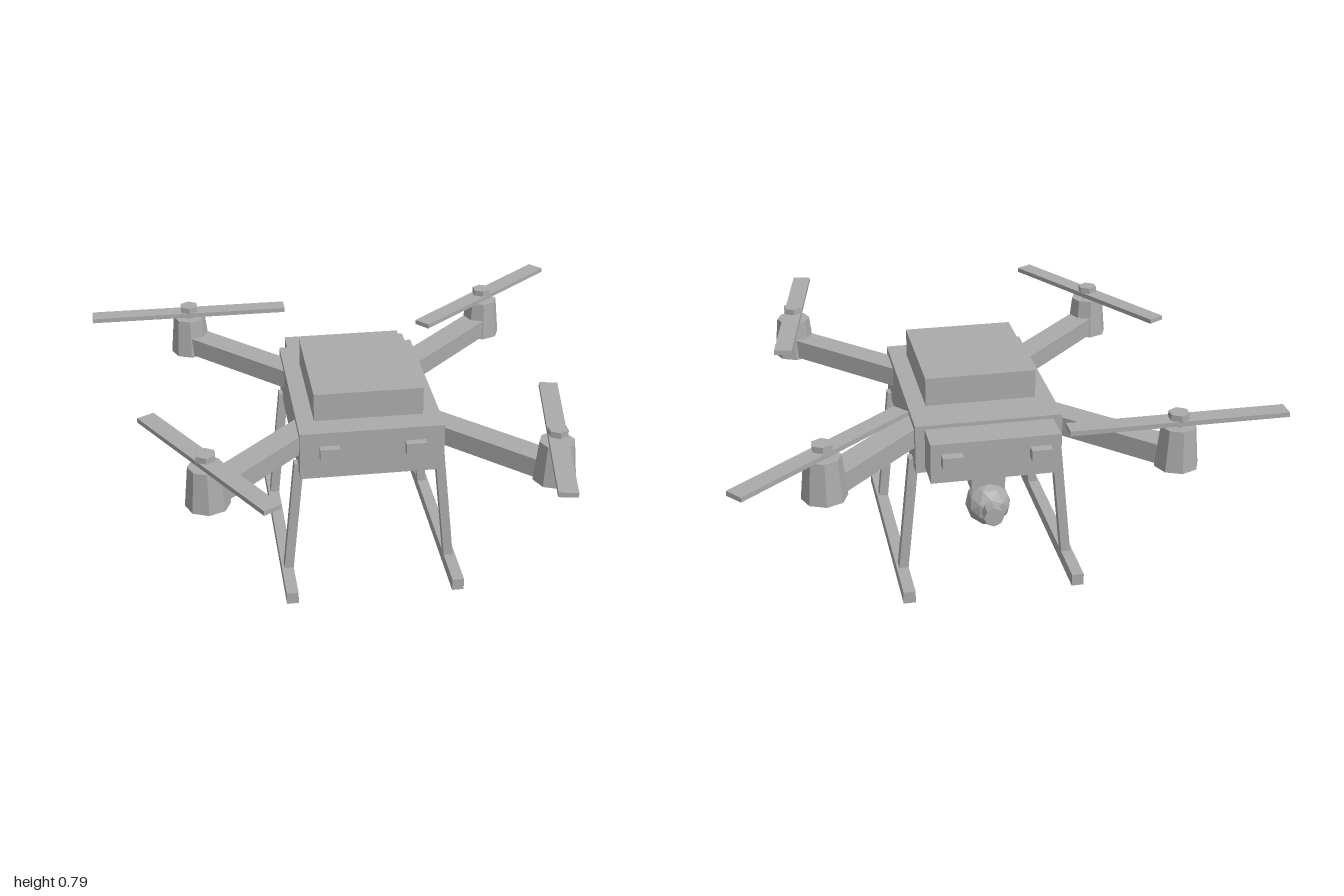
import * as THREE from 'three';

export function createModel() {
  const model = new THREE.Group();
  model.name = 'quadcopter';
  const drone = new THREE.Group();
  drone.name = 'airframe';
  drone.position.set(0.032, 0, -0.0625);
  model.add(drone);

  const grey = new THREE.MeshStandardMaterial({ color: 0xaaaaaa, flatShading: true });
  grey.name = 'plain grey';

  const add = (name, geometry, x, y, z, parent = drone) => {
    const mesh = new THREE.Mesh(geometry, grey);
    mesh.name = name;
    mesh.position.set(x, y, z);
    parent.add(mesh);
    return mesh;
  };
  const box = (name, w, h, d, x, y, z, parent) =>
    add(name, new THREE.BoxGeometry(w, h, d), x, y, z, parent);
  const cylinder = (name, top, bottom, h, sides, x, y, z, parent) =>
    add(name, new THREE.CylinderGeometry(top, bottom, h, sides), x, y, z, parent);

  // Fuselage, battery lid and rear compartment
  box('body', 0.55, 0.19, 0.745, 0, 0.585, 0);
  box('topHousing', 0.418, 0.11, 0.48, 0, 0.735, 0.0325);
  box('rearCompartment', 0.48, 0.155, 0.14, 0, 0.588, -0.43);

  // Lamps at the front and back
  for (const s of [-1, 1]) {
    box('frontLamp', 0.077, 0.043, 0.05, s * 0.163, 0.604, 0.378);
    box('rearLamp', 0.077, 0.043, 0.05, s * 0.163, 0.604, -0.512);
  }

  // Arms, motors and propellers: x side, z side, blade angle in degrees
  for (const [sx, sz, angle] of [[-1, -1, 0], [1, -1, 40], [1, 1, 80], [-1, 1, 120]]) {
    const inner = 0.2, outer = 0.632, mid = (inner + outer) / 2;
    const arm = box('arm', (outer - inner) * Math.SQRT2, 0.075, 0.1, sx * mid, 0.618, sz * mid);
    arm.rotation.y = -sx * sz * Math.PI / 4;

    const rotor = new THREE.Group();
    rotor.name = 'rotor';
    rotor.position.set(sx * outer, 0, sz * 0.63);
    drone.add(rotor);
    cylinder('motor', 0.066, 0.082, 0.157, 8, 0, 0.6515, 0, rotor);
    cylinder('shaft', 0.026, 0.026, 0.03, 6, 0, 0.742, 0, rotor);
    cylinder('hubCap', 0.039, 0.039, 0.026, 6, 0, 0.767, 0, rotor);
    box('propeller', 0.807, 0.018, 0.07, 0, 0.748, 0, rotor).rotation.y = angle * Math.PI / 180;
  }

  // Landing gear with legs splayed outwards
  for (const s of [-1, 1]) {
    box('skid', 0.046, 0.048, 0.968, s * 0.325, 0.024, 0);
    for (const z of [-0.29, 0.29]) {
      const foot = new THREE.Vector2(s * 0.322, 0.03), top = new THREE.Vector2(s * 0.272, 0.517);
      const leg = box('leg', 0.036, foot.distanceTo(top), 0.04,
        (foot.x + top.x) / 2, (foot.y + top.y) / 2, z);
      leg.rotation.z = Math.atan2(foot.x - top.x, top.y - foot.y);
    }
  }

  // Antennas under the body
  for (const x of [-0.163, 0, 0.163]) box('antenna', 0.032, 0.115, 0.032, x, 0.4425, 0.1);

  // Camera pod facing the rear
  box('cameraMount', 0.128, 0.12, 0.09, 0, 0.44, -0.315);
  add('cameraBall', new THREE.IcosahedronGeometry(0.086, 1), 0, 0.325, -0.3475);
  const lens = cylinder('cameraLens', 0.038, 0.038, 0.07, 8, 0, 0.325, -0.4325);
  lens.rotation.x = -Math.PI / 2;

  return model;
}
